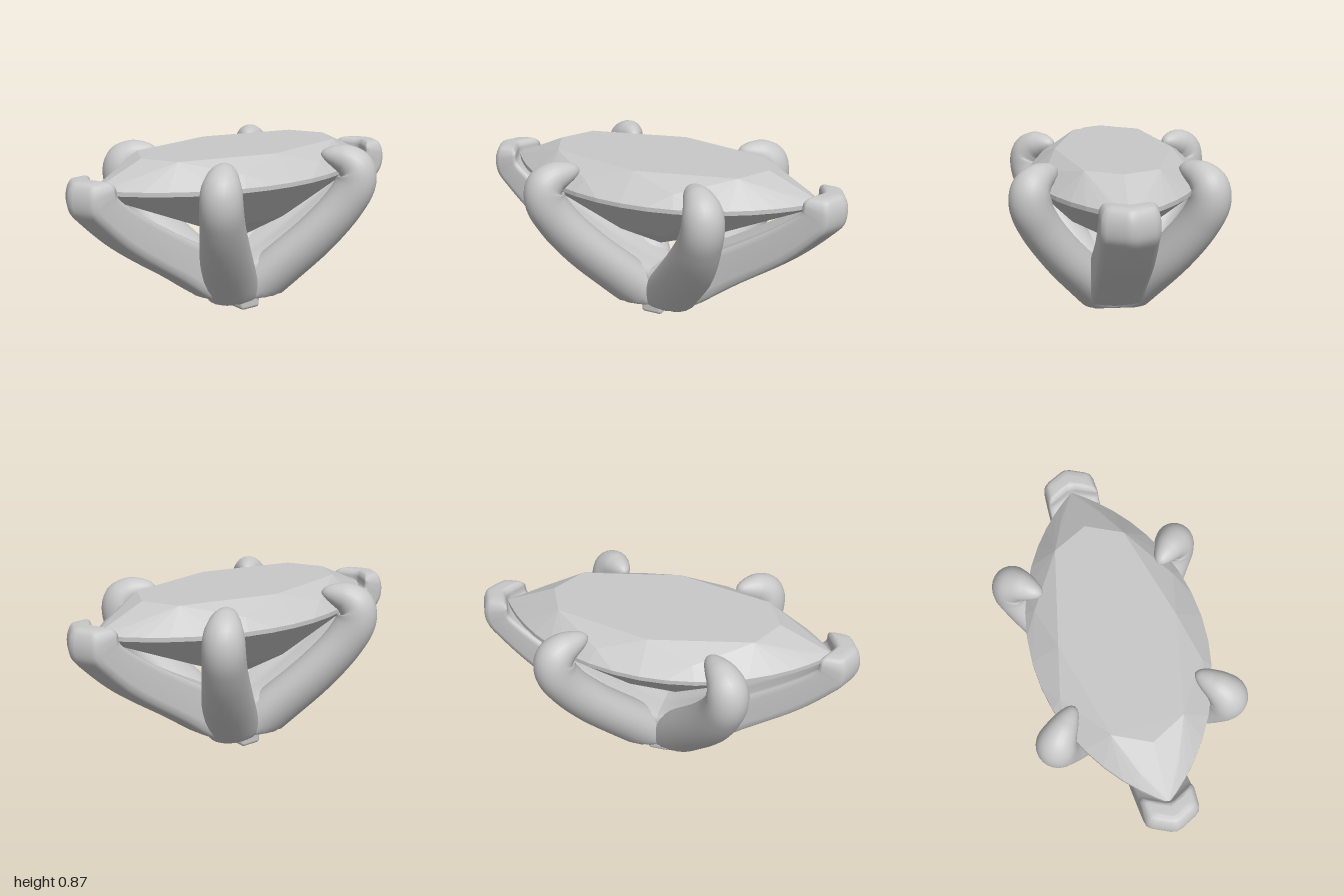
import * as THREE from 'three';
import { RoundedBoxGeometry } from 'three/addons/geometries/RoundedBoxGeometry.js';
import { ConvexGeometry } from 'three/addons/geometries/ConvexGeometry.js';

const V = (x, y, z) => new THREE.Vector3(x, y, z);
const BASE_Y = 0.065;

// Skin a list of closed rings, closing both ends with a fan
function loft(rings) {
  const n = rings[0].length, pos = [], idx = [];
  rings.forEach(r => r.forEach(p => pos.push(p.x, Math.max(p.y, BASE_Y), p.z)));
  for (let i = 0; i < rings.length - 1; i++)
    for (let j = 0; j < n; j++) {
      const a = i * n + j, b = i * n + (j + 1) % n;
      idx.push(a, b, b + n, a, b + n, a + n);
    }
  [0, rings.length - 1].forEach(i => {
    const c = rings[i].reduce((s, p) => s.add(p), V(0, 0, 0)).divideScalar(n);
    const k = pos.length / 3;
    pos.push(c.x, Math.max(c.y, BASE_Y), c.z);
    for (let j = 0; j < n; j++) {
      const a = i * n + j, b = i * n + (j + 1) % n;
      if (i) idx.push(a, b, k); else idx.push(b, a, k);
    }
  });
  const g = new THREE.BufferGeometry();
  g.setAttribute('position', new THREE.Float32BufferAttribute(pos, 3));
  g.setIndex(idx);
  g.computeVertexNormals();
  return g;
}

// Round claw on the +x +z diagonal; entries are distance along x = z, height, radius
function sideProngGeometry() {
  const curve = new THREE.CatmullRomCurve3([
    [0, 0, 0.11], [0.055, 0.09, 0.112], [0.137, 0.2, 0.112], [0.287, 0.4, 0.107],
    [0.39, 0.57, 0.104], [0.431, 0.68, 0.104], [0.428, 0.755, 0.098], [0.398, 0.794, 0.082],
    [0.362, 0.811, 0.064], [0.328, 0.82, 0.042], [0.31, 0.823, 0.022], [0.303, 0.824, 0.003],
  ].map(([d, y, r]) => V(r, y, d * Math.SQRT2)));
  const rings = [], steps = 56, sides = 24, up = V(0, 1, 0);
  for (let i = 0; i <= steps; i++) {
    const c = curve.getPoint(i / steps), t = curve.getTangent(i / steps);
    const l = Math.hypot(t.y, t.z), ring = [];
    // The lower part is broader from front to back
    const broad = 1 + 0.33 * (1 - THREE.MathUtils.smoothstep(c.y, 0.3, 0.7));
    const zMid = c.z / Math.SQRT2;
    for (let j = 0; j < sides; j++) {
      const a = j / sides * Math.PI * 2, s = -Math.sin(a) * c.x / l;
      const p = V(Math.cos(a) * c.x, c.y - t.z * s, c.z + t.y * s).applyAxisAngle(up, Math.PI / 4);
      p.z = zMid + (p.z - zMid) * broad + 0.05 * (broad - 1);
      ring.push(p);
    }
    rings.push(ring);
  }
  return loft(rings);
}

// Chevron-section claw that wraps a pointed end of the stone
function endProngGeometry() {
  // half width, y, z of the outer ridge
  const outer = new THREE.CatmullRomCurve3([
    [0.15, 0.065, -0.05], [0.145, 0.07, 0.2], [0.137, 0.255, 0.5], [0.135, 0.445, 0.78],
    [0.135, 0.58, 0.93], [0.135, 0.645, 0.987], [0.135, 0.695, 1.0], [0.13, 0.75, 0.996],
    [0.112, 0.788, 0.975], [0.075, 0.8, 0.94],
  ].map(p => V(...p)));
  // ridge depth, y, z of the inner groove
  const inner = new THREE.CatmullRomCurve3([
    [0.01, 0.24, -0.1], [0.025, 0.28, 0.07], [0.05, 0.41, 0.36], [0.06, 0.58, 0.66],
    [0.065, 0.69, 0.82], [0.065, 0.73, 0.86], [0.065, 0.75, 0.865], [0.065, 0.775, 0.868],
    [0.055, 0.794, 0.88], [0.04, 0.8, 0.895],
  ].map(p => V(...p)));
  const rings = [], steps = 45;
  for (let i = 0; i <= steps; i++) {
    const o = outer.getPoint(i / steps), n = inner.getPoint(i / steps), w = o.x, d = n.x;
    const pts = [
      V(w, o.y, o.z - d), V(w, n.y, n.z - d), V(0, n.y, n.z),
      V(-w, n.y, n.z - d), V(-w, o.y, o.z - d), V(0, o.y, o.z),
    ];
    // Soften each corner of the section
    rings.push(pts.flatMap((p, k) => {
      const a = p.clone().lerp(pts[(k + 5) % 6], 0.2), b = p.clone().lerp(pts[(k + 1) % 6], 0.2);
      const m = a.clone().add(b).multiplyScalar(0.25).addScaledVector(p, 0.5);
      return [a, m, b];
    }));
  }
  return loft(rings);
}

// Marquise-cut stone as the hull of its table, crown, girdle, pavilion and culet
function stoneGeometry() {
  const pts = [V(0, 0.366, 0)];
  const four = (x, y, z) => [1, -1].forEach(a => [1, -1].forEach(b => pts.push(V(a * x, y, b * z))));
  four(0.3, 0.863, 0);
  four(0.18, 0.863, 0.5);
  four(0, 0.863, 0.59);
  four(0.36, 0.8, 0.24);
  four(0.1, 0.795, 0.69);
  four(0.22, 0.508, 0.12);
  four(0.1, 0.52, 0.36);
  for (let i = 0; i <= 10; i++) {
    const z = 0.86 * Math.sin(i / 10 * Math.PI / 2);
    const x = Math.max(0, Math.sqrt(1.06 * 1.06 - z * z) - 0.62);
    four(x, 0.742, z);
    four(x, 0.72, z);
  }
  return new ConvexGeometry(pts);
}

export function createModel() {
  const model = new THREE.Group();
  model.name = 'gemSetting';
  const grey = new THREE.MeshStandardMaterial({ color: 0xc8c8c8 });
  grey.name = 'lightGrey';
  const add = (name, geometry) => {
    const mesh = new THREE.Mesh(geometry, grey);
    mesh.name = name;
    model.add(mesh);
    return mesh;
  };

  add('stone', stoneGeometry());

  // Four side claws, mirrored across both axes
  const side = sideProngGeometry();
  for (const x of [1, -1])
    for (const z of [1, -1])
      add((z > 0 ? 'front' : 'back') + (x > 0 ? 'Left' : 'Right') + 'Prong', side).scale.set(x, 1, z);

  const end = endProngGeometry();
  add('frontProng', end);
  add('backProng', end).rotation.y = Math.PI;

  // Small mounting peg under the claws
  add('foot', new RoundedBoxGeometry(0.235, 0.08, 0.12, 4, 0.02)).position.y = 0.04;

  return model;
}
